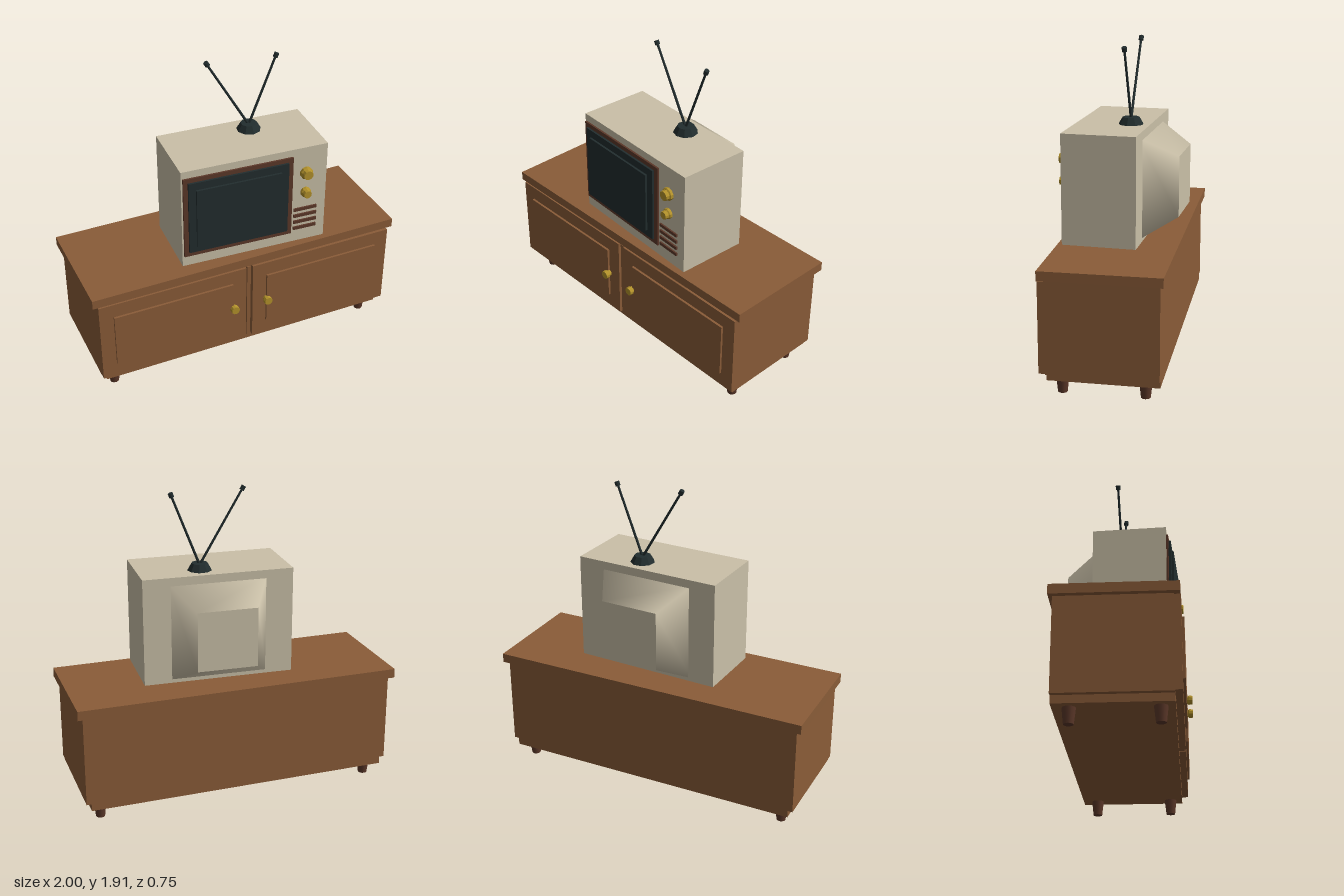
import * as THREE from 'three';

const mat = (name, color, flatShading = false) => {
  const m = new THREE.MeshStandardMaterial({ color, flatShading });
  m.name = name;
  return m;
};

export function createModel() {
  const wood = mat('wood', 0x8a5c38);
  const darkWood = mat('dark wood', 0x5c3829);
  const cream = mat('cream plastic', 0xcac0a8);
  const black = mat('dark plastic', 0x222d2e);
  const brass = mat('brass', 0xb3922b);

  const add = (parent, name, geo, material, x = 0, y = 0, z = 0) => {
    const mesh = new THREE.Mesh(geo, material);
    mesh.name = name;
    mesh.position.set(x, y, z);
    parent.add(mesh);
    return mesh;
  };
  // Box given by its limits on each axis
  const box = (parent, name, material, [x0, x1], [y0, y1], [z0, z1]) =>
    add(parent, name, new THREE.BoxGeometry(x1 - x0, y1 - y0, z1 - z0), material,
      (x0 + x1) / 2, (y0 + y1) / 2, (z0 + z1) / 2);
  // Turned shape pointing along +z, from [radius, z] pairs
  const knob = (parent, name, x, y, z, profile, sides) => {
    const pts = profile.map(([r, h]) => new THREE.Vector2(r, h));
    const geo = new THREE.LatheGeometry(pts, sides).toNonIndexed();
    geo.computeVertexNormals();
    geo.rotateX(Math.PI / 2);
    return add(parent, name, geo, brass, x, y, z);
  };

  const model = new THREE.Group();
  model.name = 'televisionOnCabinet';

  // Cabinet
  const cabinet = new THREE.Group();
  cabinet.name = 'cabinet';
  model.add(cabinet);
  box(cabinet, 'cabinetTop', wood, [-1, 1], [0.688, 0.745], [-0.372, 0.328]).rotation.z = 0.004;
  box(cabinet, 'cabinetBody', wood, [-0.968, 0.968], [0.135, 0.692], [-0.35, 0.293]);
  box(cabinet, 'plinth', wood, [-0.938, 0.938], [0.09, 0.135], [-0.349, 0.292]);
  box(cabinet, 'centreStile', wood, [-0.012, 0.012], [0.142, 0.678], [0.293, 0.322]);
  for (const s of [-1, 1]) {
    const span = (a, b) => (s > 0 ? [a, b] : [-b, -a]);
    box(cabinet, 'door', wood, span(0.022, 0.968), [0.14, 0.678], [0.293, 0.331]);
    box(cabinet, 'doorPanel', wood, span(0.113, 0.88), [0.235, 0.588], [0.331, 0.345]);
    knob(cabinet, 'doorKnob', s * 0.112, 0.41, 0.34,
      [[0.021, -0.005], [0.021, 0.008], [0.028, 0.014], [0.026, 0.037], [0, 0.037]], 10);
    for (const z of [0.217, -0.258])
      add(cabinet, 'leg', new THREE.CylinderGeometry(0.038, 0.028, 0.092, 12), darkWood, s * 0.868, 0.046, z);
  }

  // Television, turned slightly on the cabinet
  const tv = new THREE.Group();
  tv.name = 'television';
  tv.position.set(0.07, 0, 0.05);
  tv.rotation.y = -0.057;
  model.add(tv);
  box(tv, 'basePlate', black, [-0.38, 0.38], [0.738, 0.756], [-0.18, 0.2]);
  box(tv, 'case', cream, [-0.46, 0.46], [0.753, 1.41], [-0.22, 0.22]);

  // Four-sided tapered housing behind the tube
  const housing = new THREE.CylinderGeometry(0.303 * Math.SQRT2, 0.182 * Math.SQRT2, 0.215, 4);
  housing.rotateY(Math.PI / 4);
  housing.rotateX(Math.PI / 2);
  add(tv, 'rearHousing', housing, cream, 0, 1.067, -0.3075);

  // Screen and its frame
  box(tv, 'screenFrame', darkWood, [-0.45, 0.237], [0.824, 1.364], [0.215, 0.232]);
  box(tv, 'screenSurround', black, [-0.422, 0.205], [0.856, 1.337], [0.232, 0.245]);
  box(tv, 'screen', black, [-0.377, 0.157], [0.9, 1.289], [0.245, 0.258]);

  // Controls and speaker slots
  for (const [y, r] of [[1.237, 0.04], [1.102, 0.033]])
    knob(tv, 'dial', 0.325, y, 0.22,
      [[r, -0.002], [r, 0.016], [r * 0.82, 0.022], [r * 0.75, 0.044], [0, 0.044]], 10);
  for (let i = 0; i < 4; i++) {
    const y = 0.984 - i * 0.0445;
    box(tv, 'speakerSlot', darkWood, [0.252, 0.402], [y - 0.01, y + 0.01], [0.215, 0.23]);
  }

  // Aerial
  const aerial = new THREE.Group();
  aerial.name = 'aerial';
  model.add(aerial);
  const foot = new THREE.CylinderGeometry(0.05, 0.076, 0.045, 9).toNonIndexed();
  foot.computeVertexNormals();
  add(aerial, 'aerialBase', foot, black, 0.163, 1.43, -0.05);
  const root = new THREE.Vector3(0.163, 1.44, -0.05);
  for (const tip of [new THREE.Vector3(-0.1, 1.887, -0.066), new THREE.Vector3(0.33, 1.87, -0.04)]) {
    const dir = tip.clone().sub(root);
    const mid = root.clone().addScaledVector(dir, 0.5);
    const turn = new THREE.Quaternion().setFromUnitVectors(new THREE.Vector3(0, 1, 0), dir.clone().normalize());
    add(aerial, 'aerialRod', new THREE.CylinderGeometry(0.007, 0.008, dir.length(), 8), black,
      mid.x, mid.y, mid.z).quaternion.copy(turn);
    add(aerial, 'aerialTip', new THREE.CylinderGeometry(0.015, 0.015, 0.027, 8), black,
      tip.x, tip.y, tip.z).quaternion.copy(turn);
  }

  return model;
}
